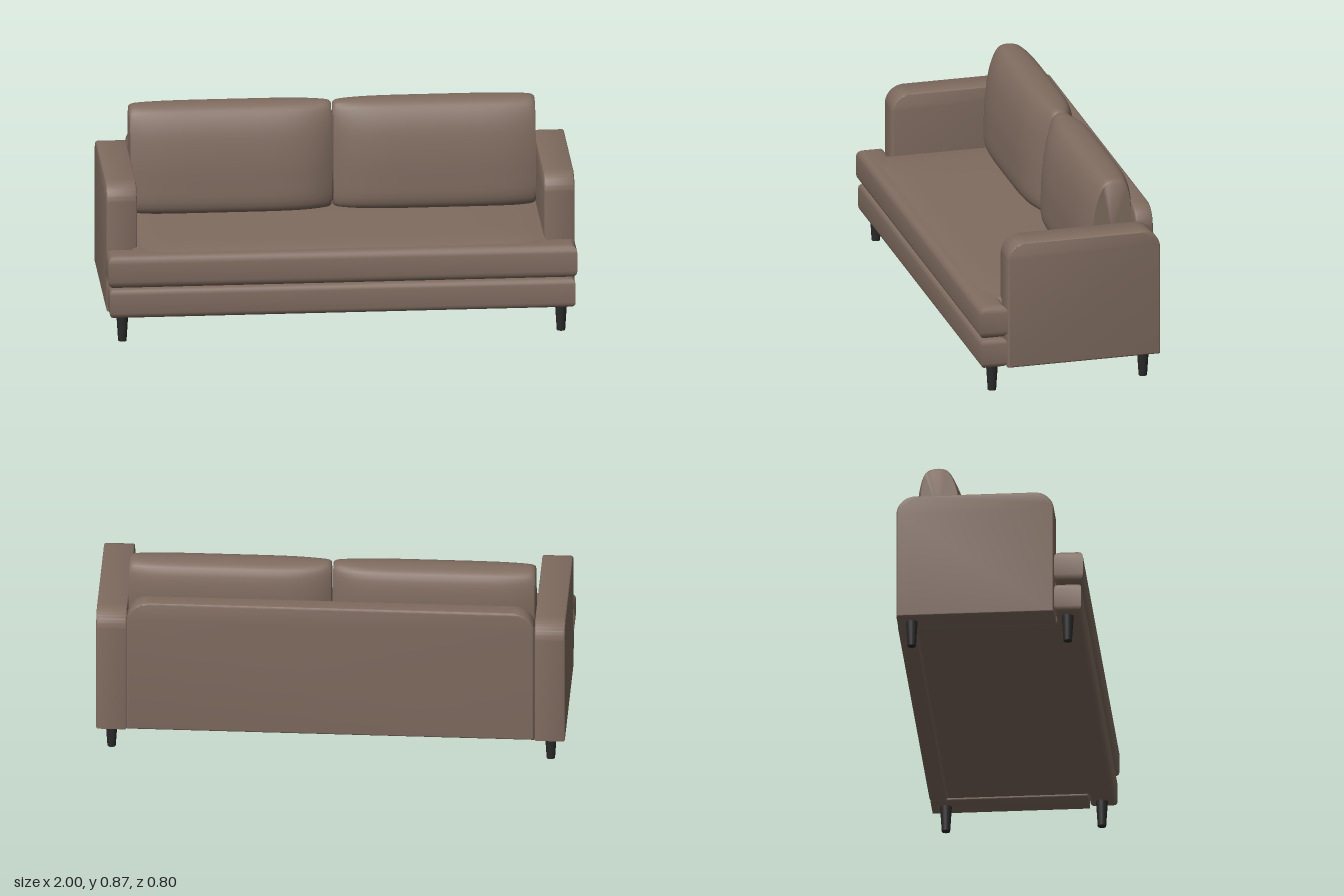
import * as THREE from 'three';
import { toCreasedNormals } from 'three/addons/utils/BufferGeometryUtils.js';

const fabric = new THREE.MeshStandardMaterial({ color: 0x806c60 });
fabric.name = 'brown fabric';
const legBlack = new THREE.MeshStandardMaterial({ color: 0x2a2a2b });
legBlack.name = 'black leg';

// Extrudes a shape to exactly the given depth, with a rounded edge inside the outline
function slab(shape, depth, edge) {
  const geo = new THREE.ExtrudeGeometry(shape, {
    depth: depth - 2 * edge, bevelEnabled: true, bevelSize: edge, bevelThickness: edge,
    bevelOffset: -edge, bevelSegments: 4, curveSegments: 10,
  });
  geo.translate(0, 0, edge);
  return toCreasedNormals(geo, 0.6);
}

// Upright panel outline with rounded top corners
function panelShape(x0, x1, y0, y1, r) {
  const s = new THREE.Shape();
  s.moveTo(x0, y0);
  s.lineTo(x1, y0);
  s.lineTo(x1, y1 - r);
  s.absarc(x1 - r, y1 - r, r, 0, Math.PI / 2, false);
  s.lineTo(x0 + r, y1);
  s.absarc(x0 + r, y1 - r, r, Math.PI / 2, Math.PI, false);
  return s;
}

// T-shaped plan: narrow between the arms, wide in front of them
function plan(inner, outer, back, neck, front) {
  return new THREE.Shape([
    [-outer, -front], [outer, -front], [outer, -neck], [inner, -neck],
    [inner, -back], [-inner, -back], [-inner, -neck], [-outer, -neck],
  ].map(([x, y]) => new THREE.Vector2(x, y)));
}

// Soft back cushion: a closed side profile swept along x, thinner towards the ends
function cushionGeometry(side) {
  const profile = new THREE.CatmullRomCurve3([
    [-0.13, 0.405], [-0.1, 0.44], [-0.097, 0.55], [-0.107, 0.67], [-0.135, 0.79], [-0.18, 0.86],
    [-0.245, 0.871], [-0.3, 0.852], [-0.326, 0.78], [-0.328, 0.6], [-0.32, 0.44], [-0.29, 0.405],
  ].map(([z, y]) => new THREE.Vector3(0, y, z)), true).getPoints(48);
  const cy = 0.635, cz = -0.218, n = 32, m = profile.length;
  const pos = [], index = [];
  for (let i = -1; i <= n + 1; i++) {
    const a = Math.min(Math.max(i / n, 0), 1);
    const u = 0.5 - 0.5 * Math.cos(Math.PI * a);
    const e = 2 * u - 1;
    const cap = i < 0 || i > n;
    const endLoss = e * side > 0 ? 0.25 : 0.5;
    const kz = cap ? 0 : 1 - endLoss * Math.abs(e) ** 5;
    const ky = cap ? 0 : 1.004 - 0.02 * e ** 4 - 0.045 * Math.abs(e) ** 60;
    const x = side * 0.434 + e * 0.43;
    for (const p of profile) pos.push(x, cy + (p.y - cy) * ky, cz + (p.z - cz) * kz);
  }
  for (let i = 0; i < n + 2; i++) {
    for (let j = 0; j < m - 1; j++) {
      const a = i * m + j, b = a + m;
      index.push(a, b, b + 1, a, b + 1, a + 1);
    }
  }
  const geo = new THREE.BufferGeometry();
  geo.setAttribute('position', new THREE.Float32BufferAttribute(pos, 3));
  geo.setIndex(index);
  return toCreasedNormals(geo, 0.8);
}

// Gently domed surface on top of the seat
function crownGeometry() {
  const w = 0.885, d = 0.35;
  const geo = new THREE.PlaneGeometry(2 * w, 2 * d, 40, 24);
  geo.rotateX(-Math.PI / 2);
  const p = geo.attributes.position;
  for (let i = 0; i < p.count; i++) {
    const fx = 1 - Math.abs(p.getX(i) / w) ** 10;
    const fz = 1 - Math.abs(p.getZ(i) / d) ** 6;
    p.setY(i, 0.391 + 0.019 * fx * fz);
  }
  geo.translate(0, 0, 0.025);
  geo.computeVertexNormals();
  return geo;
}

export function createModel() {
  const sofa = new THREE.Group();
  sofa.name = 'sofa';
  const add = (name, geo, mat = fabric) => {
    const mesh = new THREE.Mesh(geo, mat);
    mesh.name = name;
    sofa.add(mesh);
    return mesh;
  };

  // Base and seat
  const base = slab(plan(0.868, 0.993, -0.33, 0.277, 0.392), 0.131, 0.025);
  add('base', base.rotateX(-Math.PI / 2).translate(0, 0.115, 0));
  const seat = slab(plan(0.9, 1, -0.33, 0.277, 0.4), 0.147, 0.034);
  add('seat', seat.rotateX(-Math.PI / 2).translate(0, 0.25, 0));
  add('seatCrown', crownGeometry());

  // Backrest
  const back = slab(panelShape(-0.868, 0.868, 0.115, 0.73, 0.09), 0.077, 0.01);
  add('backrest', back.translate(0, 0, -0.4));

  for (const side of [1, -1]) {
    const label = side > 0 ? 'left' : 'right';

    // Arm
    const arm = slab(panelShape(-0.275, 0.396, 0.112, 0.675, 0.082), 0.13, 0.008);
    arm.rotateY(Math.PI / 2).translate(side > 0 ? 0.868 : -0.998, 0, 0);
    add(label + 'Arm', arm);

    // Back cushion
    add(label + 'BackCushion', cushionGeometry(side));

    // Legs
    for (const [end, z] of [['Front', 0.33], ['Back', -0.335]]) {
      const leg = add(label + end + 'Leg', new THREE.CylinderGeometry(0.026, 0.018, 0.125, 20), legBlack);
      leg.position.set(side * 0.935, 0.0625, z);
    }
  }
  return sofa;
}
